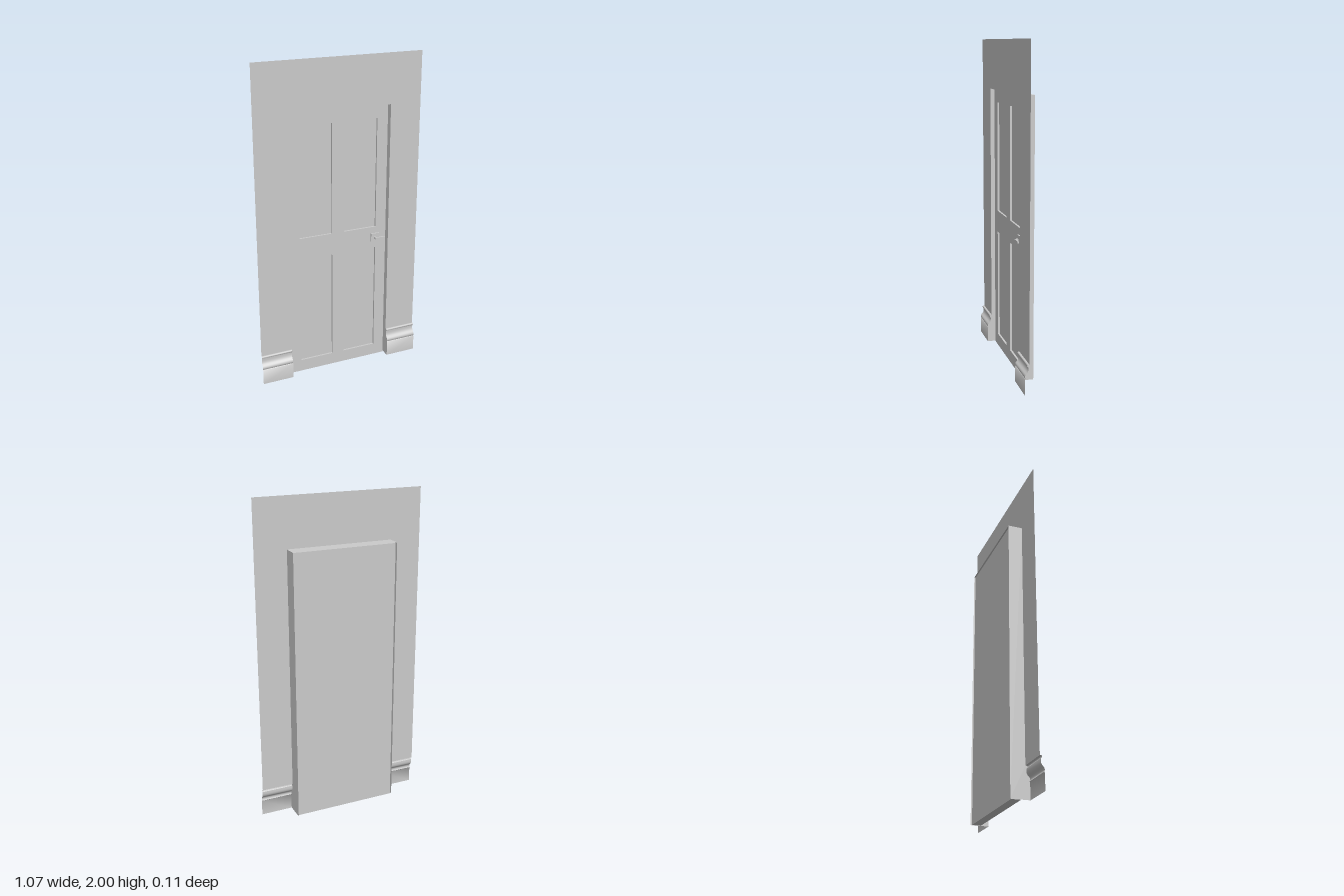
import * as THREE from 'three';
import { toCreasedNormals } from 'three/addons/utils/BufferGeometryUtils.js';

const solid = new THREE.MeshStandardMaterial({ color: 0xcccccc });
const sheet = new THREE.MeshStandardMaterial({ color: 0xcccccc, side: THREE.DoubleSide });

const WALL_X = 0.533, WALL_TOP = 2, WALL_Z = 0.03, BACK_Z = -0.057;
const HOLE_X = 0.333, HOLE_TOP = 1.694;
const DOOR_X = 0.327, DOOR_TOP = 1.689, DOOR_FRONT = 0.005, DOOR_BACK = -0.05;
const PANEL_DEPTH = 0.012;

// Skirting profile as [z, y], from the wall down to the floor
const skirtingProfile = [
  [0.03, 0.186], [0.036, 0.187], [0.041, 0.184], [0.043, 0.179], [0.041, 0.173], [0.036, 0.17],
  [0.035, 0.155], [0.037, 0.143], [0.042, 0.134], [0.049, 0.127],
  [0.054, 0.121], [0.056, 0.113], [0.055, 0.105], [0.052, 0.1],
  [0.056, 0.096], [0.056, 0],
];
const SKIRTING_TOP = skirtingProfile[0][1];

function add(parent, name, geometry, material) {
  const mesh = new THREE.Mesh(geometry, material);
  mesh.name = name;
  parent.add(mesh);
  return mesh;
}

// Box given by its limits on each axis
function box(x0, x1, y0, y1, z0, z1) {
  return new THREE.BoxGeometry(x1 - x0, y1 - y0, z1 - z0)
    .translate((x0 + x1) / 2, (y0 + y1) / 2, (z0 + z1) / 2);
}

function rectangle(ShapeType, x0, x1, y0, y1) {
  return new ShapeType([[x0, y0], [x1, y0], [x1, y1], [x0, y1]].map(p => new THREE.Vector2(...p)));
}

// Open sheet that follows the skirting profile across x0..x1
function skirtingGeometry(x0, x1) {
  const geometry = new THREE.PlaneGeometry(x1 - x0, 1, 1, skirtingProfile.length - 1);
  geometry.translate((x0 + x1) / 2, 0, 0);
  const position = geometry.attributes.position;
  for (let i = 0; i < position.count; i++) {
    const [z, y] = skirtingProfile[Math.floor(i / 2)];
    position.setY(i, y);
    position.setZ(i, z);
  }
  return toCreasedNormals(geometry, 0.9);
}

// Jamb sheet, its front edge cut to the skirting profile
function jambGeometry(x) {
  const outline = [[BACK_Z, 0], [BACK_Z, HOLE_TOP], [WALL_Z, HOLE_TOP], ...skirtingProfile];
  const shape = new THREE.Shape(outline.map(([z, y]) => new THREE.Vector2(-z, y)));
  return new THREE.ShapeGeometry(shape).rotateY(Math.PI / 2).translate(x, 0, 0);
}

export function createModel() {
  const model = new THREE.Group();
  model.name = 'doorway';

  // Wall sheet with the door opening
  const wall = new THREE.Shape([
    [-WALL_X, SKIRTING_TOP], [-HOLE_X, SKIRTING_TOP], [-HOLE_X, HOLE_TOP], [HOLE_X, HOLE_TOP],
    [HOLE_X, SKIRTING_TOP], [WALL_X, SKIRTING_TOP], [WALL_X, WALL_TOP], [-WALL_X, WALL_TOP],
  ].map(p => new THREE.Vector2(...p)));
  add(model, 'wall', new THREE.ShapeGeometry(wall).translate(0, 0, WALL_Z), sheet);

  // Skirting boards and opening lining
  add(model, 'leftSkirting', skirtingGeometry(HOLE_X, WALL_X), sheet);
  add(model, 'rightSkirting', skirtingGeometry(-WALL_X, -HOLE_X), sheet);
  add(model, 'leftJamb', jambGeometry(HOLE_X), sheet);
  add(model, 'rightJamb', jambGeometry(-HOLE_X), sheet);
  const lintel = new THREE.PlaneGeometry(2 * HOLE_X, WALL_Z - BACK_Z).rotateX(-Math.PI / 2);
  add(model, 'lintel', lintel.translate(0, HOLE_TOP, (WALL_Z + BACK_Z) / 2), sheet);

  // Door leaf: core slab, with a front layer whose holes form the sunken panels
  const door = new THREE.Group();
  door.name = 'door';
  model.add(door);
  const coreFront = DOOR_FRONT - PANEL_DEPTH;
  add(door, 'doorCore', box(-DOOR_X, DOOR_X, 0, DOOR_TOP, DOOR_BACK, coreFront), solid);
  const face = rectangle(THREE.Shape, -DOOR_X, DOOR_X, 0, DOOR_TOP);
  for (const [x0, x1] of [[-0.257, -0.04], [0.04, 0.257]]) {
    for (const [y0, y1] of [[0.077, 0.777], [0.917, 1.613]]) {
      face.holes.push(rectangle(THREE.Path, x0, x1, y0, y1));
    }
  }
  const frame = new THREE.ExtrudeGeometry(face, { depth: PANEL_DEPTH, bevelEnabled: false });
  add(door, 'panelFrame', frame.translate(0, 0, coreFront), solid);

  // Handle: plate, neck and lever
  const handle = new THREE.Group();
  handle.name = 'handle';
  model.add(handle);
  add(handle, 'handlePlate', box(0.224, 0.283, 0.82, 0.874, DOOR_FRONT, 0.014), solid);
  add(handle, 'handleNeck', box(0.243, 0.254, 0.841, 0.853, 0.014, 0.028), solid);
  add(handle, 'handleLever', box(0.243, 0.309, 0.841, 0.853, 0.028, 0.037), solid);

  return model;
}
